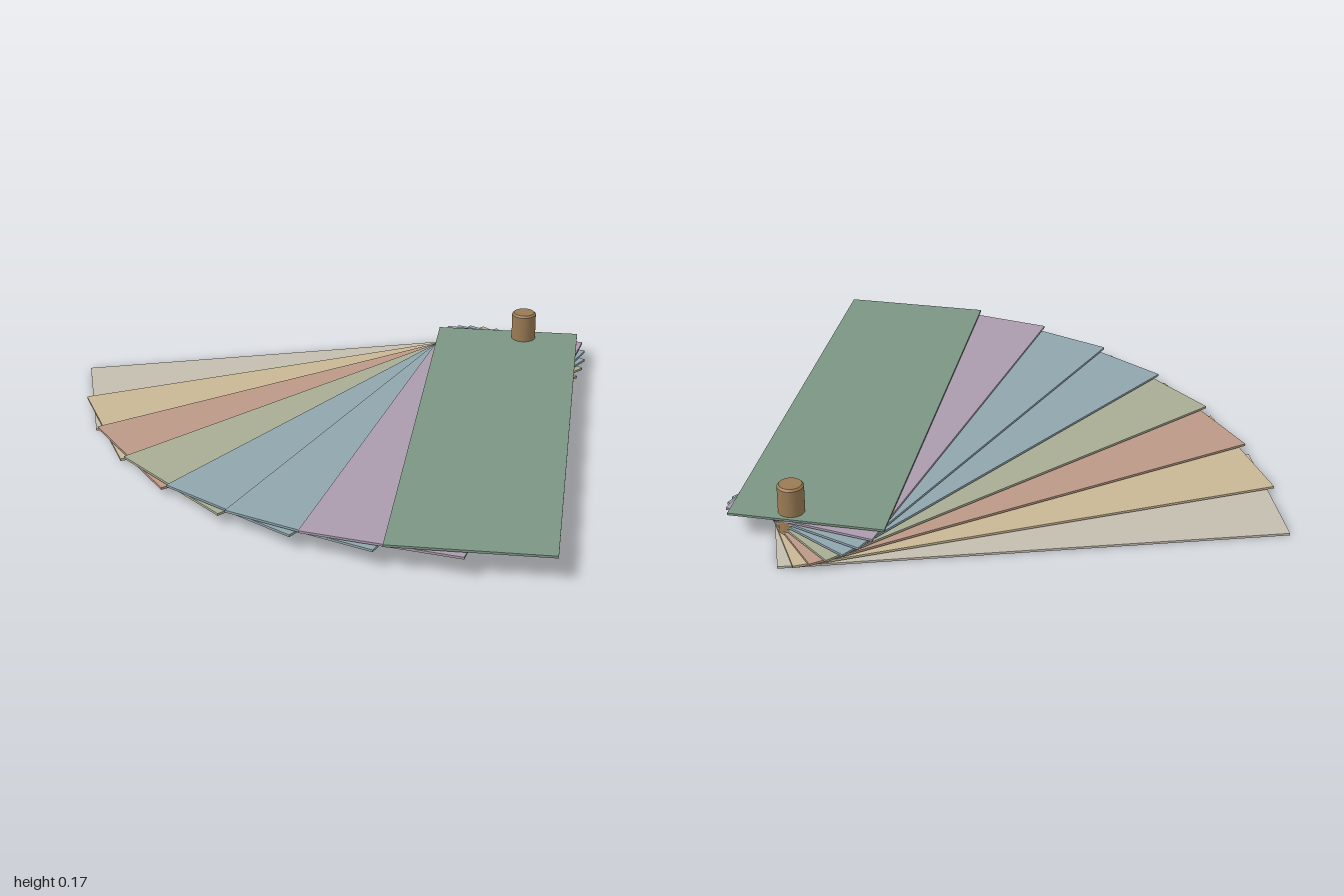
import * as THREE from 'three';

const material = (name, color) => {
  const m = new THREE.MeshStandardMaterial({ color });
  m.name = name;
  return m;
};

export function createModel() {
  const model = new THREE.Group();
  model.name = 'swatchFan';

  const blue = material('dustyBlue', 0x8fa5ad);
  const cardMaterials = [
    material('warmGrey', 0xc4beb0),
    material('sand', 0xc8b795),
    material('clay', 0xbb9887),
    material('sage', 0xa9ad94),
    blue,
    blue,
    material('mauve', 0xab9cae),
    material('forestGreen', 0x7c9584),
  ];

  // Cards, stacked upward and fanned evenly about a shared pivot
  const width = 0.47, length = 1.5, thickness = 0.007, step = 0.0105;
  const behind = 0.126, pivotZ = -0.577, spread = THREE.MathUtils.degToRad(36);
  const cardGeometry = new THREE.BoxGeometry(width, thickness, length);
  cardGeometry.translate(0, thickness / 2, length / 2 - behind);
  cardMaterials.forEach((mat, i) => {
    const card = new THREE.Mesh(cardGeometry, mat);
    card.name = `card${i + 1}`;
    card.position.set(0, i * step, pivotZ);
    card.rotation.y = THREE.MathUtils.lerp(-spread, spread, i / (cardMaterials.length - 1));
    model.add(card);
  });

  // Pin through the stack, with a small chamfer round the top
  const r = 0.04, top = 0.172, bottom = 0.003, c = 0.006;
  const ring = [[0, bottom], [r, bottom], [r, top - c], [r - c, top], [0, top]];
  // Repeated points keep the rims crisp
  const profile = ring.flatMap(([x, y], i) =>
    i > 0 && i < ring.length - 1
      ? [new THREE.Vector2(x, y), new THREE.Vector2(x, y + 1e-5)]
      : [new THREE.Vector2(x, y)]);
  const pin = new THREE.Mesh(new THREE.LatheGeometry(profile, 24), material('bronze', 0x9a7b54));
  pin.name = 'pin';
  pin.position.z = -0.67;
  model.add(pin);

  return model;
}
